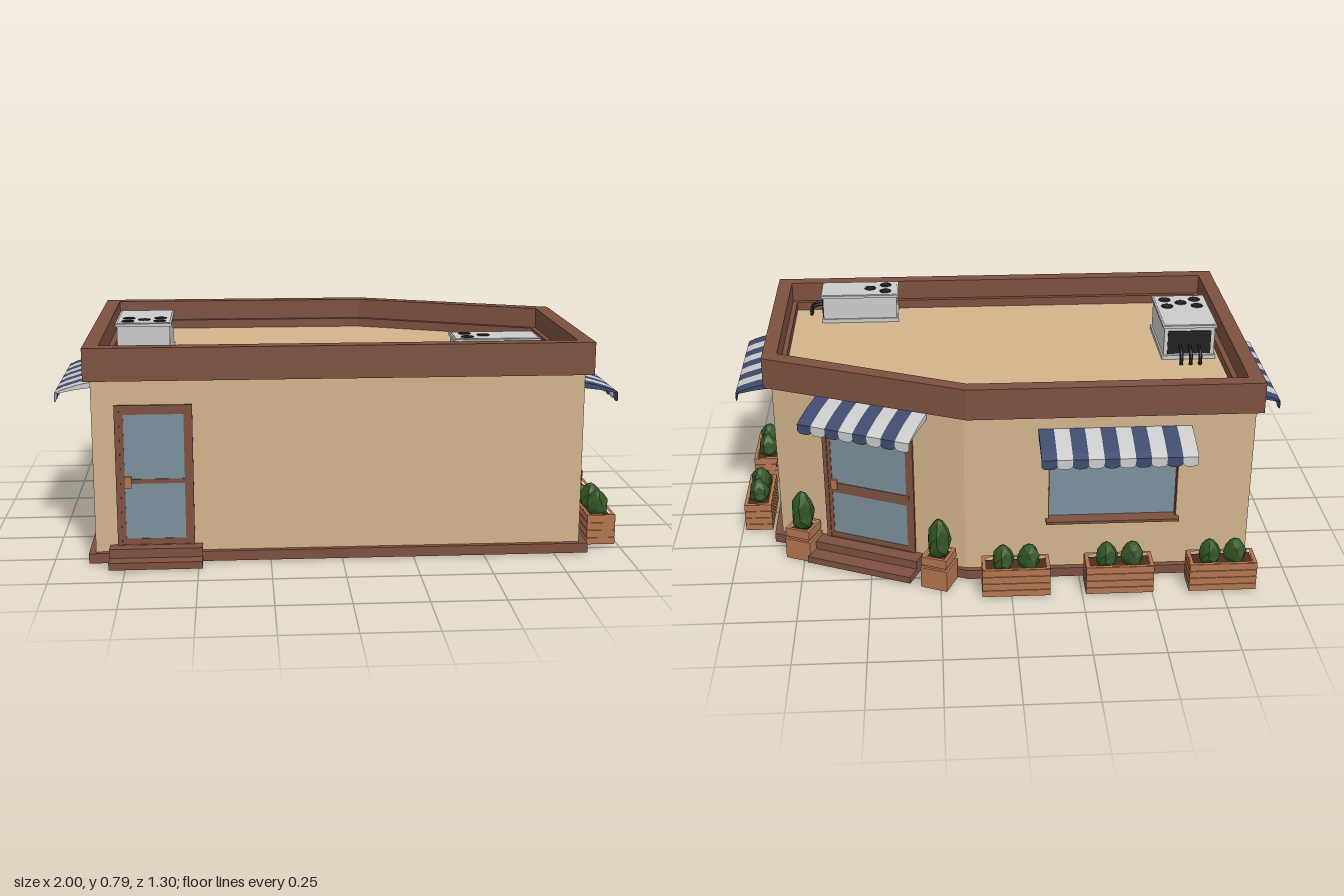
import * as THREE from 'three';

const mat = (color) => new THREE.MeshStandardMaterial({ color, flatShading: true });
const M = {
  brown: mat(0x7d5140), tan: mat(0xd2b48c), glass: mat(0x7b909b), clay: mat(0xb4764f),
  soil: mat(0x4a2e20), green: mat(0x315323), blue: mat(0x3f4c6e), white: mat(0xc8c8c6),
  metal: mat(0xc6c6c6), black: mat(0x222222), floor: mat(0xa5a280),
};

function add(parent, name, geometry, material, x = 0, y = 0, z = 0) {
  const mesh = new THREE.Mesh(geometry, material);
  mesh.name = name;
  mesh.position.set(x, y, z);
  parent.add(mesh);
  return mesh;
}
const box = (p, name, m, w, h, d, x, y, z) => add(p, name, new THREE.BoxGeometry(w, h, d), m, x, y, z);
function group(parent, name, x = 0, y = 0, z = 0, angle = 0) {
  const g = new THREE.Group();
  g.name = name;
  g.position.set(x, y, z);
  g.rotation.y = angle;
  parent.add(g);
  return g;
}
const shapeOf = (pts) => new THREE.Shape(pts.map(([x, y]) => new THREE.Vector2(x, y)));
const rect = (w, h, x = 0, y = 0) =>
  [[x - w / 2, y - h / 2], [x + w / 2, y - h / 2], [x + w / 2, y + h / 2], [x - w / 2, y + h / 2]];
function extrude(outer, depth, hole) {
  const s = shapeOf(outer);
  if (hole) s.holes.push(shapeOf(hole));
  return new THREE.ExtrudeGeometry(s, { depth, bevelEnabled: false });
}
// Horizontal slab or ring from [x, z] points, between two heights
const slab = (p, name, m, outer, y0, y1, hole) => {
  const flip = (pts) => pts && pts.map(([x, z]) => [x, -z]);
  return add(p, name, extrude(flip(outer), y1 - y0, flip(hole)).rotateX(-Math.PI / 2), m, 0, y0, 0);
};

// Footprints with the cut-off back corner
const OUTER = [[-0.878, 0.56], [0.868, 0.56], [0.868, -0.222], [0.15, -0.521], [-0.878, -0.521]];
const WALL = [[-0.855, 0.54], [0.84, 0.54], [0.84, -0.205], [0.16, -0.5], [-0.855, -0.5]];
const INNER = [[-0.825, 0.51], [0.815, 0.51], [0.815, -0.18], [0.145, -0.47], [-0.825, -0.47]];
const LEDGE = [[-0.805, 0.493], [0.797, 0.493], [0.797, -0.165], [0.14, -0.453], [-0.805, -0.453]];

// Striped awning with a hanging scalloped edge; local +z points away from the wall
function awning(wall, width, count, x, top) {
  const g = group(wall, 'awning', x, top, 0);
  const w = width / count;
  const tab = new THREE.Shape();
  tab.moveTo(-w / 2, 0);
  tab.lineTo(-w / 2, -0.022);
  tab.quadraticCurveTo(-w / 2, -0.036, 0, -0.036);
  tab.quadraticCurveTo(w / 2, -0.036, w / 2, -0.022);
  tab.lineTo(w / 2, 0);
  const profile = [[0, -0.022], [0.08, -0.032], [0.152, -0.046], [0.152, -0.043], [0.125, -0.031], [0.07, -0.014], [0, 0]];
  for (let i = 0; i < count; i++) {
    const m = i % 2 ? M.white : M.blue;
    const cx = -width / 2 + (i + 0.5) * w;
    add(g, 'awningStripe', extrude(profile, w).rotateY(-Math.PI / 2), m, cx + w / 2, 0, 0);
    add(g, 'awningScallop',
      new THREE.ExtrudeGeometry(tab, { depth: 0.002, bevelEnabled: false, curveSegments: 4 }), m, cx, -0.043, 0.15);
  }
}

// Recessed window with lining and sill
function windowUnit(wall, x, w) {
  const g = group(wall, 'window', x, 0.39, 0);
  add(g, 'windowFrame', extrude(rect(w, 0.32), 0.036, rect(w - 0.008, 0.312)), M.brown, 0, 0, -0.035);
  box(g, 'windowGlass', M.glass, w - 0.006, 0.314, 0.006, 0, 0, -0.028);
  box(g, 'windowSill', M.brown, w + 0.015, 0.01, 0.05, 0, -0.159, 0.002);
}

// Framed glass door with crossbar, handle and two steps
function doorUnit(wall, x, w, top, out, barY, barH) {
  const g = group(wall, 'door', x, 0, 0);
  const h = top - 0.05, cy = (top + 0.05) / 2;
  add(g, 'doorFrame', extrude(rect(w, h, 0, cy), 0.018, rect(w - 0.032, h - 0.032, 0, cy)), M.brown, 0, 0, -0.01);
  add(g, 'doorLeaf', extrude(rect(w - 0.03, h - 0.03, 0, cy), 0.01, rect(w - 0.06, h - 0.07, 0, cy + 0.002)), M.brown, 0, 0, -0.005);
  box(g, 'doorGlass', M.glass, w - 0.05, h - 0.06, 0.004, 0, cy, 0.001);
  box(g, 'doorCrossbar', M.brown, w - 0.04, barH, 0.01, 0, barY, 0.001);
  box(g, 'doorHandle', M.clay, 0.025, 0.04, 0.008, -w / 2 + 0.04, 0.29, 0.008);
  box(g, 'lowerStep', M.brown, w + 0.055, 0.025, out, 0, 0.02, out / 2);
  box(g, 'upperStep', M.brown, w + 0.055, 0.033, out * 0.5, 0, 0.048, out * 0.25);
}

// Faceted shrub, slightly narrower toward the top
function shrub(parent, x, y, z, r, h, turn) {
  const geo = new THREE.IcosahedronGeometry(1, 1);
  const p = geo.attributes.position;
  for (let i = 0; i < p.count; i++) {
    const a = p.getX(i), b = p.getY(i), c = p.getZ(i);
    const k = (1 - 0.25 * b) * (1 + 0.16 * Math.sin(a * 7 + c * 5 + b * 3));
    p.setXYZ(i, a * r * k, b * h / 2, c * r * k);
  }
  geo.computeVertexNormals();
  add(parent, 'shrub', geo, M.green, x, y + h / 2, z).rotation.y = turn;
}

// Long slatted planter with two shrubs, open underneath
function planter(root, x, z, angle) {
  const g = group(root, 'planter', x, 0, z, angle);
  slab(g, 'planterBox', M.clay, rect(0.234, 0.096), 0.006, 0.116, rect(0.212, 0.076));
  for (let i = 0; i < 4; i++) {
    slab(g, 'planterSlat', M.clay, rect(0.24, 0.102), 0.007 + i * 0.028, 0.031 + i * 0.028, rect(0.23, 0.092));
  }
  box(g, 'planterSoil', M.soil, 0.216, 0.008, 0.08, 0, 0.1, 0);
  shrub(g, -0.047, 0.09, 0, 0.038, 0.1, 0.4);
  shrub(g, 0.047, 0.09, 0, 0.038, 0.1, 1.7);
}

// Square pot with a tall shrub
function pot(root, x, z, angle) {
  const g = group(root, 'doorPot', x, 0, z, angle);
  box(g, 'potBody', M.clay, 0.1, 0.08, 0.1, 0, 0.042, 0);
  box(g, 'potNeck', M.clay, 0.082, 0.014, 0.082, 0, 0.088, 0);
  slab(g, 'potRim', M.clay, rect(0.095, 0.095), 0.093, 0.127, rect(0.072, 0.072));
  box(g, 'potSoil', M.soil, 0.076, 0.01, 0.076, 0, 0.11, 0);
  shrub(g, 0, 0.105, 0, 0.042, 0.162, 0.8);
}

// Rooftop cooling unit; local -x end carries the grille and pipes
function cooler(root, x, z, angle, w, d, top, fans, pipes) {
  const base = 0.65, h = top - base;
  const g = group(root, 'coolingUnit', x, base, z, angle);
  box(g, 'coolerBody', M.metal, w - 0.012, h, d - 0.012, 0, h / 2, 0);
  box(g, 'coolerLid', M.metal, w, 0.01, d, 0, h - 0.007, 0);
  box(g, 'coolerFoot', M.metal, w, 0.015, d, 0, 0.01, 0);
  box(g, 'coolerGrille', M.black, 0.004, h * 0.65, d * 0.8, -w / 2 + 0.004, h * 0.5, 0);
  for (const [fx, fz] of fans) {
    const f = group(g, 'fan', fx, h, fz);
    const ring = add(f, 'fanRing', new THREE.TorusGeometry(0.021, 0.002, 4, 14), M.black);
    ring.rotation.x = Math.PI / 2;
    add(f, 'fanHub', new THREE.CylinderGeometry(0.009, 0.009, 0.004, 8), M.black);
    for (let i = 0; i < 6; i++) box(f, 'fanBlade', M.black, 0.042, 0.003, 0.007, 0, 0, 0).rotation.y = i * Math.PI / 6;
  }
  for (const pz of pipes) {
    const path = new THREE.CatmullRomCurve3([[0.01, 0.4], [-0.025, 0.38], [-0.045, 0.25], [-0.047, 0]]
      .map(([px, py]) => new THREE.Vector3(-w / 2 + px, py * h, pz)));
    add(g, 'pipe', new THREE.TubeGeometry(path, 10, 0.007, 6), M.black);
  }
}

export function createModel() {
  const root = new THREE.Group();
  root.name = 'cornerShop';

  // Base trim on both faces of the walls, recessed floor, roof and parapet
  slab(root, 'baseTrim', M.brown, OUTER, 0.005, 0.04, WALL);
  slab(root, 'innerBaseTrim', M.brown, INNER, 0.005, 0.045, LEDGE);
  slab(root, 'floor', M.floor, INNER, 0.042, 0.05);
  slab(root, 'roof', M.tan, WALL, 0.635, 0.652);
  slab(root, 'parapet', M.brown, OUTER, 0.646, 0.76, INNER);
  slab(root, 'parapetLedge', M.brown, INNER, 0.646, 0.685, LEDGE);

  // Walls, each with local +z facing outward and a window hole where needed
  const windows = [null, [-0.01, 0.425], null, [0.018, 0.46], [0.01, 0.46]];
  const walls = WALL.map(([ax, az], i) => {
    const [bx, bz] = WALL[(i + 1) % WALL.length];
    const angle = Math.atan2(-(bz - az), bx - ax);
    const g = group(root, 'wallSide', (ax + bx) / 2, 0, (az + bz) / 2, angle);
    const length = Math.hypot(bx - ax, bz - az), win = windows[i];
    add(g, 'wall', extrude(rect(length, 0.63, 0, 0.335), 0.03, win && rect(win[1], 0.32, win[0], 0.39)), M.tan, 0, 0, -0.03);
    if (win) windowUnit(g, win[0], win[1]);
    return g;
  });
  const [front, left, corner, back, right] = walls;
  doorUnit(front, -0.638, 0.265, 0.56, 0.105, 0.292, 0.016);
  doorUnit(corner, 0, 0.355, 0.6, 0.12, 0.277, 0.04);
  awning(left, 0.485, 9, -0.008, 0.595);
  awning(back, 0.535, 10, 0.018, 0.595);
  awning(right, 0.54, 10, 0.01, 0.595);
  awning(corner, 0.425, 8, 0.02, 0.637);

  // Planters
  for (const z of [0.357, -0.018]) planter(root, 0.936, z, Math.PI / 2);
  for (const x of [-0.75, -0.383, -0.016]) planter(root, x, -0.593, Math.PI);
  for (const [x, z] of [[0.255, -0.53], [0.752, -0.305]]) pot(root, x, z, corner.rotation.y);

  // Rooftop equipment
  cooler(root, -0.69, 0.08, -Math.PI / 2, 0.3, 0.2, 0.788,
    [[0.04, 0.057], [0.04, -0.057], [0.073, 0], [0.105, 0.057], [0.105, -0.057]], [-0.035, 0, 0.035]);
  cooler(root, 0.54, 0.425, Math.PI, 0.3, 0.15, 0.766,
    [[0.1, 0.033], [0.04, 0], [0.1, -0.033]], [-0.015, -0.038]);
  return root;
}
